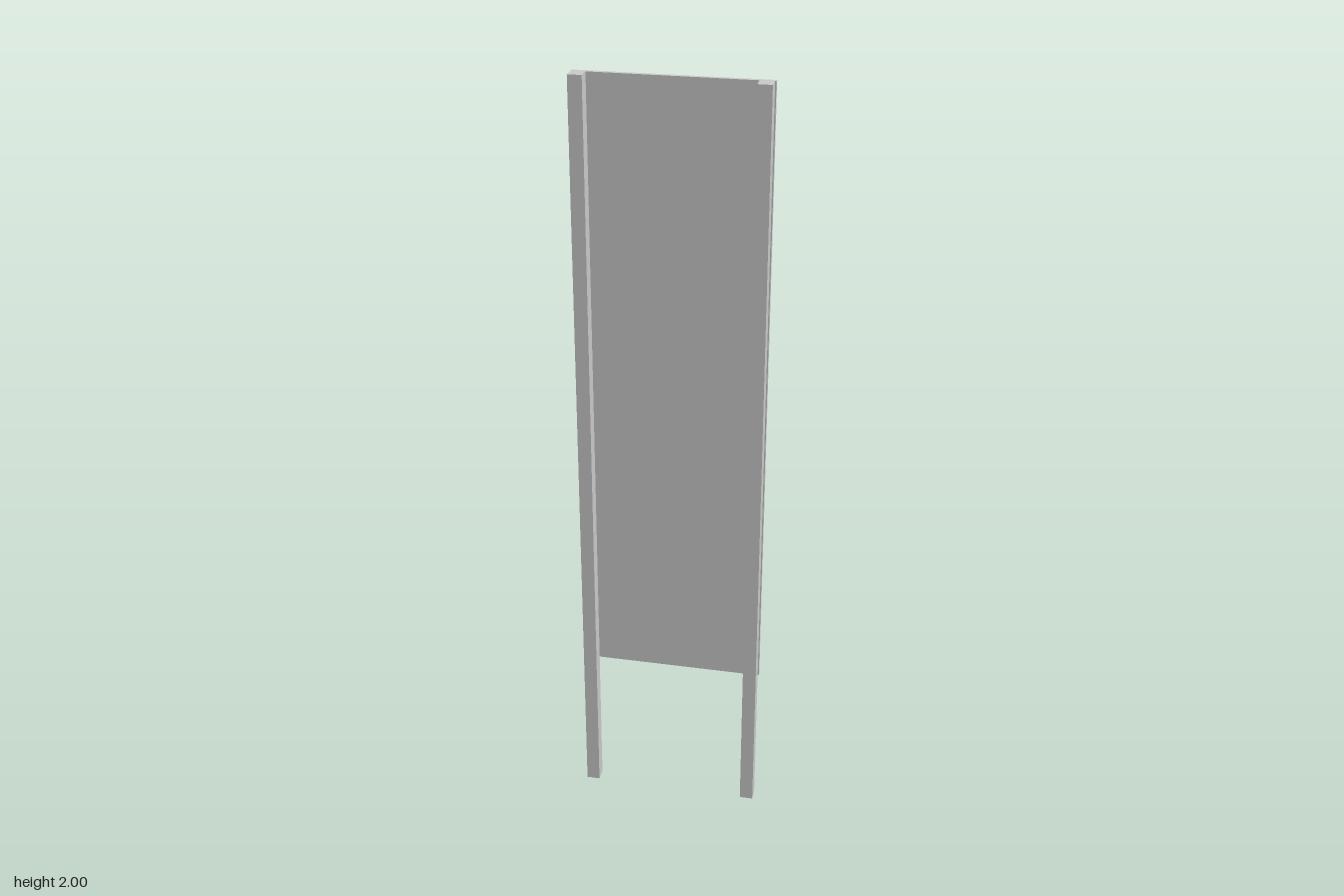
import * as THREE from 'three';

const material = new THREE.MeshStandardMaterial({ color: 0xcccccc, flatShading: true });

// Box given by its lower and upper corners
function box(name, [x0, y0, z0], [x1, y1, z1]) {
  const mesh = new THREE.Mesh(new THREE.BoxGeometry(x1 - x0, y1 - y0, z1 - z0), material);
  mesh.position.set((x0 + x1) / 2, (y0 + y1) / 2, (z0 + z1) / 2);
  mesh.name = name;
  return mesh;
}

export function createModel() {
  const group = new THREE.Group();
  group.name = 'signBoard';

  const postSize = 0.035;
  const front = 0.023;
  const seam = front - postSize; // plane where the board meets the posts

  // Thin board fixed to the back of the posts
  group.add(box('board', [-0.239, 0.392, -front], [0.239, 2, seam]));

  // Two square posts, running from the ground to the top of the board
  for (const [name, x] of [['rightPost', -0.238], ['leftPost', 0.201]]) {
    group.add(box(name, [x, 0, seam], [x + postSize, 2, front]));
  }

  return group;
}
